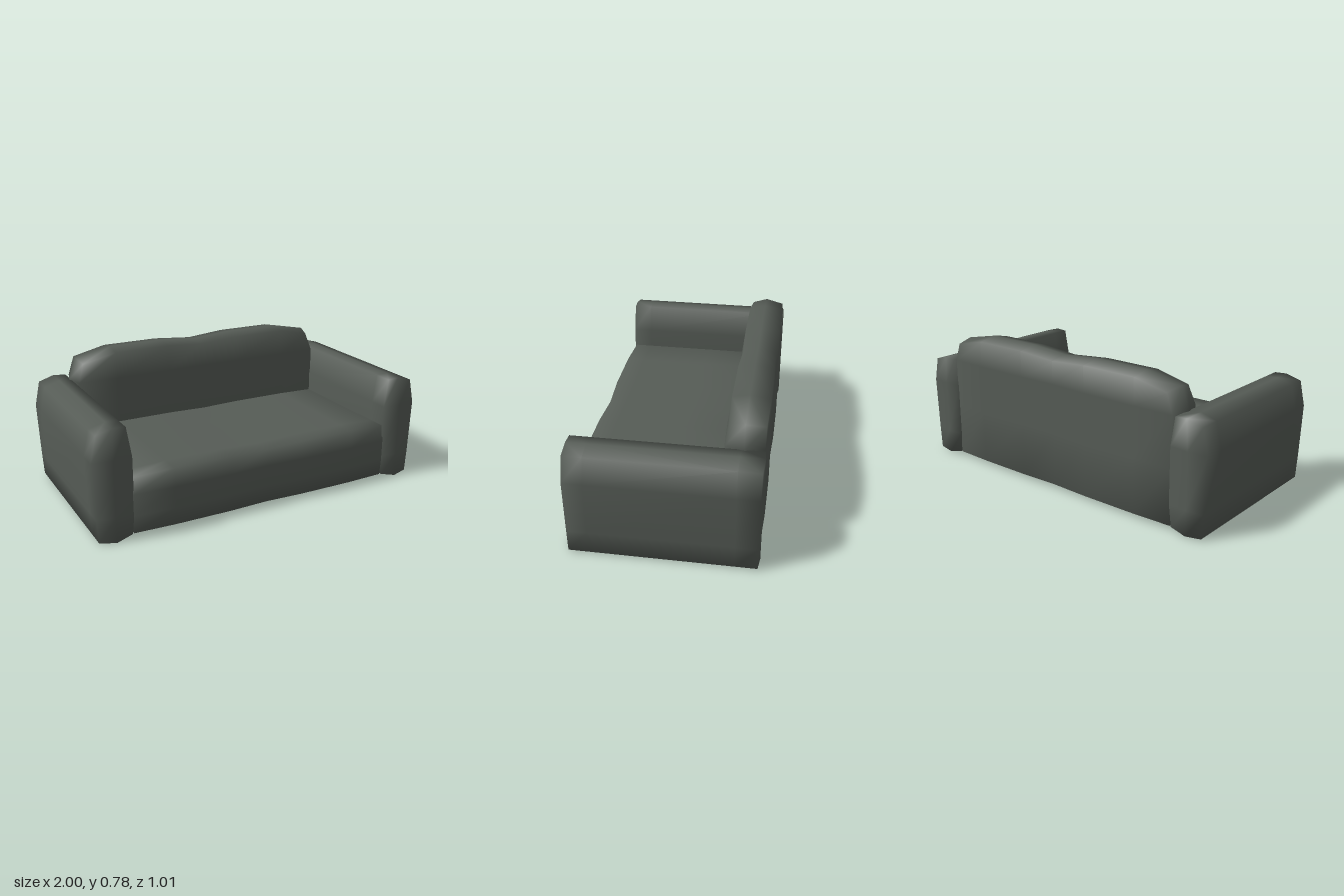
import * as THREE from 'three';
import { mergeVertices } from 'three/addons/utils/BufferGeometryUtils.js';

const material = new THREE.MeshStandardMaterial({ color: 0x565c56, roughness: 0.9 });

// A box with nx * ny * nz cells; place(i, j, k) gives the position of each grid corner.
function softBox(name, nx, ny, nz, place) {
  const box = new THREE.BoxGeometry(nx, ny, nz, nx, ny, nz);
  box.deleteAttribute('normal');
  box.deleteAttribute('uv');
  const geometry = mergeVertices(box);
  const p = geometry.attributes.position;
  for (let v = 0; v < p.count; v++) {
    const i = Math.round(p.getX(v) + nx / 2);
    const j = Math.round(p.getY(v) + ny / 2);
    const k = Math.round(p.getZ(v) + nz / 2);
    p.setXYZ(v, ...place(i, j, k));
  }
  geometry.computeVertexNormals();
  const mesh = new THREE.Mesh(geometry, material);
  mesh.name = name;
  return mesh;
}

// Armrest cross-section rows from the floor up: [x, y] at inner, middle and outer column
const armRows = [
  [[0.8, 0.02], [0.89, 0], [0.98, 0.01]],
  [[0.785, 0.14], [0.89, 0.14], [0.988, 0.14]],
  [[0.785, 0.45], [0.89, 0.45], [1, 0.45]],
  [[0.81, 0.61], [0.88, 0.615], [0.97, 0.59]],
];
const armFront = [0.49, 0.505, 0.487];
const armBack = [-0.498, -0.505, -0.497];

function arm(name, side) {
  return softBox(name, 2, 3, 3, (i, j, k) => {
    const column = side > 0 ? i : 2 - i;
    const [x, y] = armRows[j][column];
    const front = j === 3 ? 0.485 : armFront[column];
    const z = [armBack[column], -0.38, 0.38, front][k];
    return [side * x, y, z];
  });
}

// Column positions shared by the seat and backrest, dipping where two cushions meet
const columns = [-0.79, -0.56, -0.23, 0, 0.23, 0.56, 0.79];
const bulge = [0, 1, 1, 0, 1, 1, 0];

export function createModel() {
  const sofa = new THREE.Group();
  sofa.name = 'sofa';

  sofa.add(arm('leftArm', 1), arm('rightArm', -1));

  // Seat with a softly rounded front
  const seatY = [0.02, 0.12, 0.24, 0.333];
  const seatFront = [0.485, 0.493, 0.493, 0.482];
  sofa.add(softBox('seat', 6, 3, 3, (i, j, k) => {
    const y = seatY[j] + (j === 3 ? 0.009 * bulge[i] : 0);
    const front = seatFront[j] + 0.01 * bulge[i];
    return [columns[i], y, [-0.48, -0.02, 0.38, front][k]];
  }));

  // Backrest with a crowned top and rounded ends
  const backY = [0.022, 0.33, 0.61, 0.74];
  const backFront = [-0.29, -0.28, -0.282, -0.3];
  sofa.add(softBox('backrest', 6, 3, 2, (i, j, k) => {
    const end = i === 0 || i === 6;
    let x = columns[i];
    let y = backY[j];
    if (end && j === 2) x = Math.sign(x) * (k === 1 ? 0.82 : 0.79);
    if (end && j === 3) x = Math.sign(x) * (k === 1 ? 0.775 : 0.755);
    if (j === 3) y += (end ? -0.025 : 0.018 * bulge[i]) + (k === 1 ? 0.018 : 0);
    const z = [-0.496 - 0.008 * bulge[i], -0.395, backFront[j] - (bulge[i] ? 0.004 : 0.012)][k];
    return [x, y, z];
  }));

  return sofa;
}
